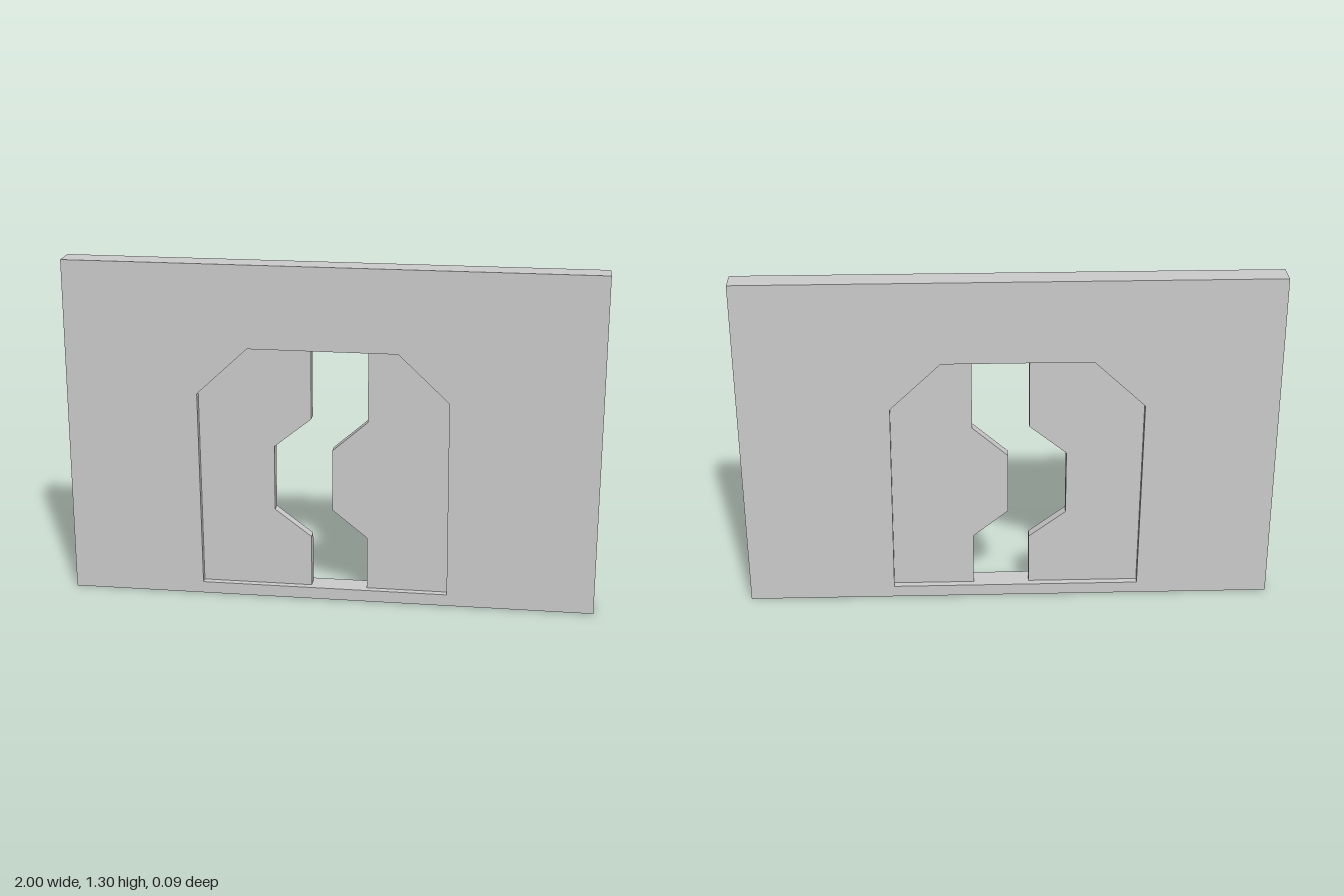
import * as THREE from 'three';

const WALL_DEPTH = 0.095;
const DOOR_DEPTH = 0.042;

// Closed outline from a list of [x, y] corners
const toPoints = (corners) => corners.map(([x, y]) => new THREE.Vector2(x, y));

// Flat slab centred on z = 0
function slab(name, shape, depth, material) {
  const geometry = new THREE.ExtrudeGeometry(shape, { depth, bevelEnabled: false });
  geometry.translate(0, 0, -depth / 2);
  const mesh = new THREE.Mesh(geometry, material);
  mesh.name = name;
  return mesh;
}

export function createModel() {
  const group = new THREE.Group();
  group.name = 'wallWithSlidingDoors';
  const material = new THREE.MeshStandardMaterial({ color: 0xcccccc, flatShading: true });

  // Outer corners of the doorway, split into its two halves
  const rightHalf = [[-0.495, 0.045], [-0.502, 0.805], [-0.31, 0.985]];
  const leftHalf = [[0.25, 0.985], [0.44, 0.805], [0.446, 0.045]];

  // Wall with a chamfered doorway
  const wall = new THREE.Shape(toPoints([[-1, 0], [1, 0], [1, 1.3], [-1, 1.3]]));
  wall.holes.push(new THREE.Path(toPoints([...rightHalf, ...leftHalf])));
  group.add(slab('wall', wall, WALL_DEPTH, material));

  // Thin recessed door with a notch in its inner edge
  const rightDoor = new THREE.Shape(toPoints([
    ...rightHalf,
    [-0.075, 0.985], [-0.075, 0.715], [-0.215, 0.602],
    [-0.215, 0.35], [-0.075, 0.245], [-0.075, 0.045],
  ]));
  group.add(slab('rightDoor', rightDoor, DOOR_DEPTH, material));

  // Opposite door with the matching tongue
  const leftDoor = new THREE.Shape(toPoints([
    ...leftHalf,
    [0.138, 0.045], [0.138, 0.25], [0.005, 0.357],
    [0.005, 0.595], [0.138, 0.712], [0.138, 0.985],
  ]));
  group.add(slab('leftDoor', leftDoor, DOOR_DEPTH, material));

  return group;
}
